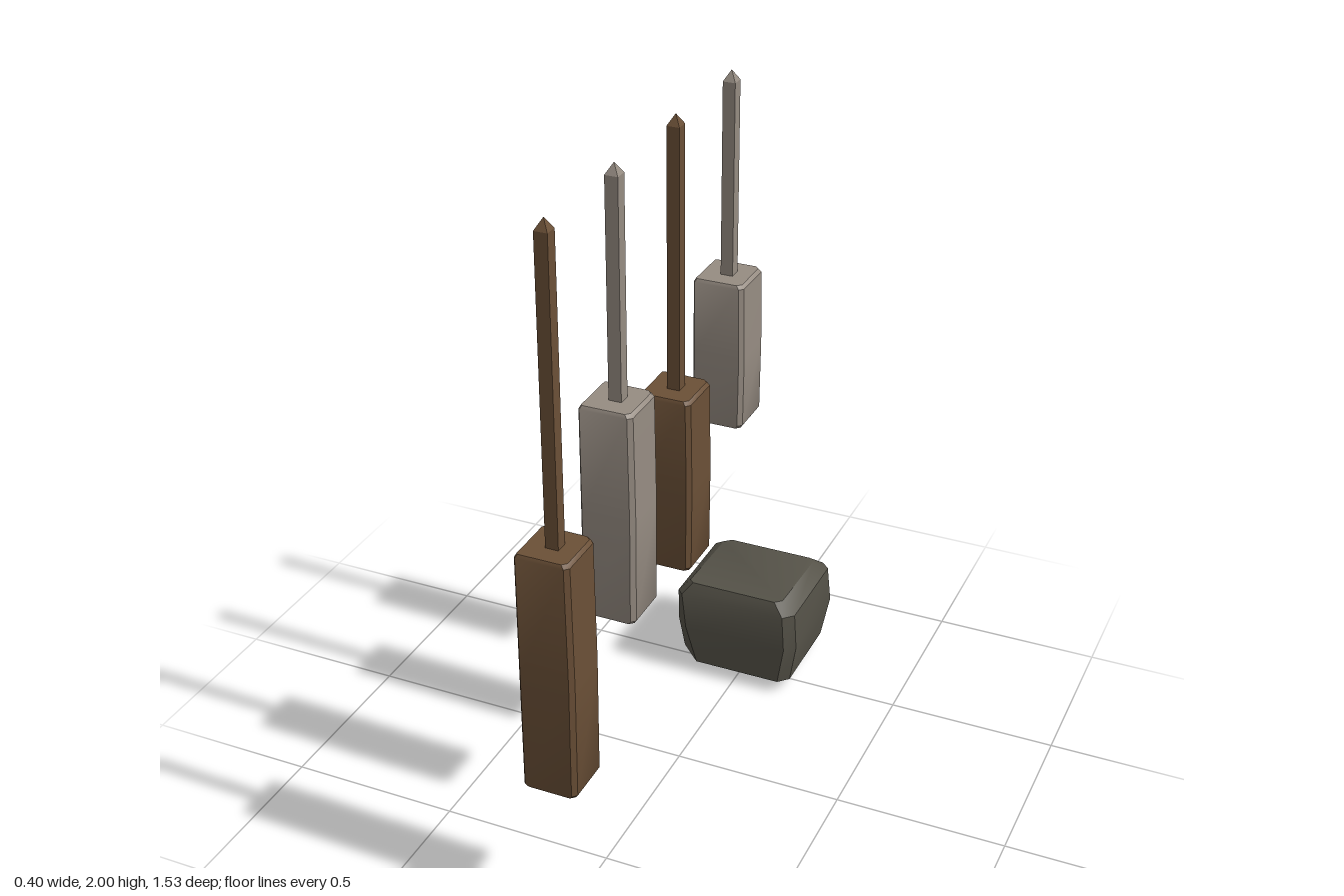
import * as THREE from 'three';
import { toCreasedNormals } from 'three/addons/utils/BufferGeometryUtils.js';

const mat = (name, color) => {
  const m = new THREE.MeshStandardMaterial({ color });
  m.name = name;
  return m;
};

// Box outline with cut corners; cuts run back right, back left, front left, front right
function ring([y, x0, x1, z0, z1, cuts, tilt = 0]) {
  const [br, bl, fl, fr] = cuts;
  return [
    [x1, z1 - fr], [x1, z0 + br], [x1 - br, z0], [x0 + bl, z0],
    [x0, z0 + bl], [x0, z1 - fl], [x0 + fl, z1], [x1 - fr, z1],
  ].map(([x, z]) => [x, y + tilt * (z - z1), z]);
}

// Solid skinned over rings from bottom to top, closed at both ends
function loft(sections, crease) {
  const rings = sections.map(ring);
  const n = 8, pos = rings.flat(2), index = [];
  for (let k = 0; k < rings.length - 1; k++) {
    for (let i = 0; i < n; i++) {
      const a = k * n + i, b = k * n + (i + 1) % n;
      index.push(a, b, b + n, a, b + n, a + n);
    }
  }
  const last = (rings.length - 1) * n;
  for (let i = 1; i < n - 1; i++) {
    index.push(last, last + i, last + i + 1);
    index.push(0, i + 1, i);
  }
  const g = new THREE.BufferGeometry();
  g.setAttribute('position', new THREE.Float32BufferAttribute(pos, 3));
  g.setIndex(index);
  return toCreasedNormals(g, crease);
}

export function createModel() {
  const model = new THREE.Group();
  const brown = mat('brown wood', 0x6b5037);
  const grey = mat('pale grey wood', 0x968c82);
  const stone = mat('dark stone', 0x555248);

  // Hanging blocks: z centre, bottom, top, material
  const blocks = [
    [0.69, 0.42, 1.135, brown],
    [0.325, 0.735, 1.365, grey],
    [-0.035, 0.69, 1.225, brown],
    [-0.4, 0.96, 1.41, grey],
  ];
  blocks.forEach(([z, bottom, top, material], i) => {
    const hanger = new THREE.Group();
    hanger.name = `hangingBlock${i + 1}`;
    hanger.position.set(-0.025, 0, z);

    // Block with softly worn edges
    const s = 0.076, c = [0.012, 0.004, 0.004, 0.012];
    const block = new THREE.Mesh(loft([
      [bottom, -s + 0.006, s - 0.01, -s + 0.006, s - 0.006, c],
      [bottom + 0.012, -s, s - 0.002, -s, s, c],
      [(bottom + top) / 2, -s, s, -s, s, c],
      [top - 0.01, -s, s - 0.004, -s, s, c],
      [top, -s + 0.005, s - 0.012, -s + 0.005, s - 0.005, c],
    ], 0.6), material);
    block.name = 'block';

    // Square rod with a pointed tip
    const w = 0.036, rodTop = 1.97;
    const rod = new THREE.Mesh(new THREE.BoxGeometry(w, rodTop - top, w), material);
    rod.name = 'rod';
    rod.position.y = (rodTop + top) / 2;
    const tipGeo = new THREE.ConeGeometry(w / Math.SQRT2, 0.03, 4, 1, true).rotateY(Math.PI / 4);
    const tip = new THREE.Mesh(toCreasedNormals(tipGeo, 0.3), material);
    tip.name = 'rodTip';
    tip.position.y = rodTop + 0.015;

    hanger.add(block, rod, tip);
    model.add(hanger);
  });

  // Boulder with chipped corners
  const boulder = new THREE.Mesh(loft([
    [0.005, -0.1, 0.1, -0.67, -0.5, [0.04, 0.04, 0.04, 0.04]],
    [0.045, -0.195, 0.178, -0.75, -0.415, [0.03, 0.03, 0.07, 0.03]],
    [0.17, -0.2, 0.198, -0.768, -0.41, [0.025, 0.03, 0.04, 0.03]],
    [0.285, -0.195, 0.188, -0.762, -0.415, [0.025, 0.03, 0.02, 0.03]],
    [0.325, -0.16, 0.145, -0.735, -0.432, [0.02, 0.02, 0.015, 0.02], 0.05],
  ], 0.6), stone);
  boulder.name = 'boulder';
  model.add(boulder);

  return model;
}
